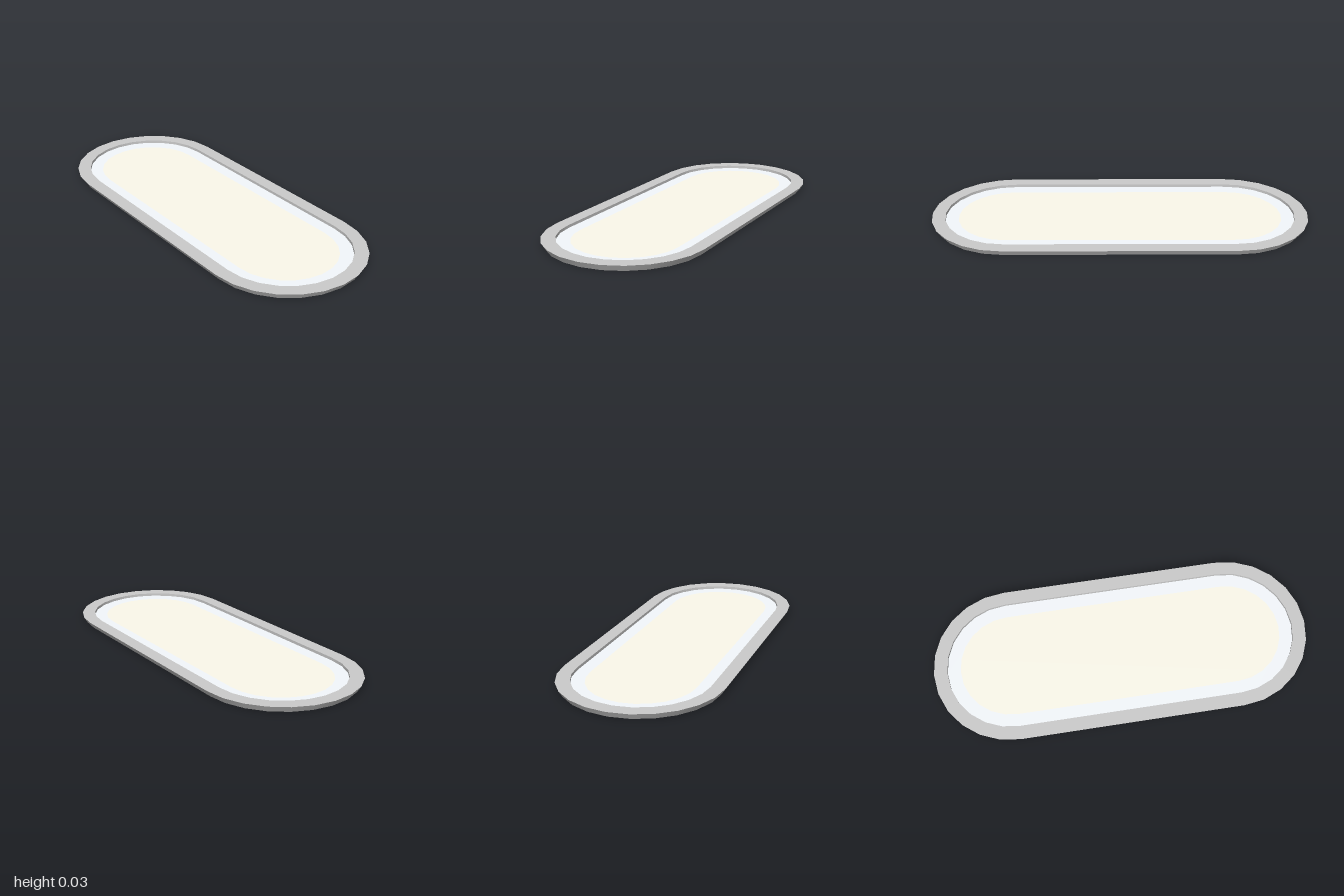
import * as THREE from 'three';
import { mergeGeometries } from 'three/addons/utils/BufferGeometryUtils.js';

const HALF = 0.585;   // half length of the straight sides
const STEPS = 12;     // segments per rounded end

// Pill-shaped loop of points with end radius r
function pill(r) {
  const pts = [];
  for (const side of [1, -1]) {
    for (let i = 0; i <= STEPS; i++) {
      const a = -Math.PI / 2 + (Math.PI * i) / STEPS;
      pts.push(new THREE.Vector2(side * (HALF + r * Math.cos(a)), side * r * Math.sin(a)));
    }
  }
  return pts;
}

// Band between two pill loops [radius, height], smooth along its length
function band([r0, y0], [r1, y1]) {
  const a = pill(r0), b = pill(r1), n = a.length;
  const pos = [], index = [];
  for (let i = 0; i < n; i++) pos.push(a[i].x, y0, a[i].y, b[i].x, y1, b[i].y);
  for (let i = 0; i < n; i++) {
    const p = 2 * i, q = 2 * ((i + 1) % n);
    index.push(p, p + 1, q, q, p + 1, q + 1);
  }
  const g = new THREE.BufferGeometry();
  g.setAttribute('position', new THREE.Float32BufferAttribute(pos, 3));
  g.setIndex(index);
  g.computeVertexNormals();
  return g;
}

// Flat pill panel facing up, optionally with a pill-shaped hole
function panel(name, r, hole, y, color) {
  const shape = new THREE.Shape(pill(r));
  if (hole) shape.holes.push(new THREE.Path(pill(hole).reverse()));
  const g = new THREE.ShapeGeometry(shape).rotateX(-Math.PI / 2).translate(0, y, 0);
  const mesh = new THREE.Mesh(g, new THREE.MeshStandardMaterial({ color, side: THREE.DoubleSide }));
  mesh.name = name;
  return mesh;
}

export function createModel() {
  const model = new THREE.Group();
  model.name = 'pillTray';

  // Rim: sloped outer wall, flat top, upright inner wall, flat underside
  const profile = [[0.396, 0], [0.415, 0.031], [0.344, 0.031], [0.344, 0]];
  const bands = profile.map((p, i) => band(p, profile[(i + 1) % profile.length]));
  const rim = new THREE.Mesh(mergeGeometries(bands), new THREE.MeshStandardMaterial({ color: 0xcccccc }));
  rim.name = 'rim';
  model.add(rim);

  // Recessed floor: pale border around a warm centre
  model.add(panel('borderPanel', 0.344, 0.275, 0.016, 0xf5f9fd));
  model.add(panel('centrePanel', 0.275, 0, 0.016, 0xfdfaec));
  return model;
}
